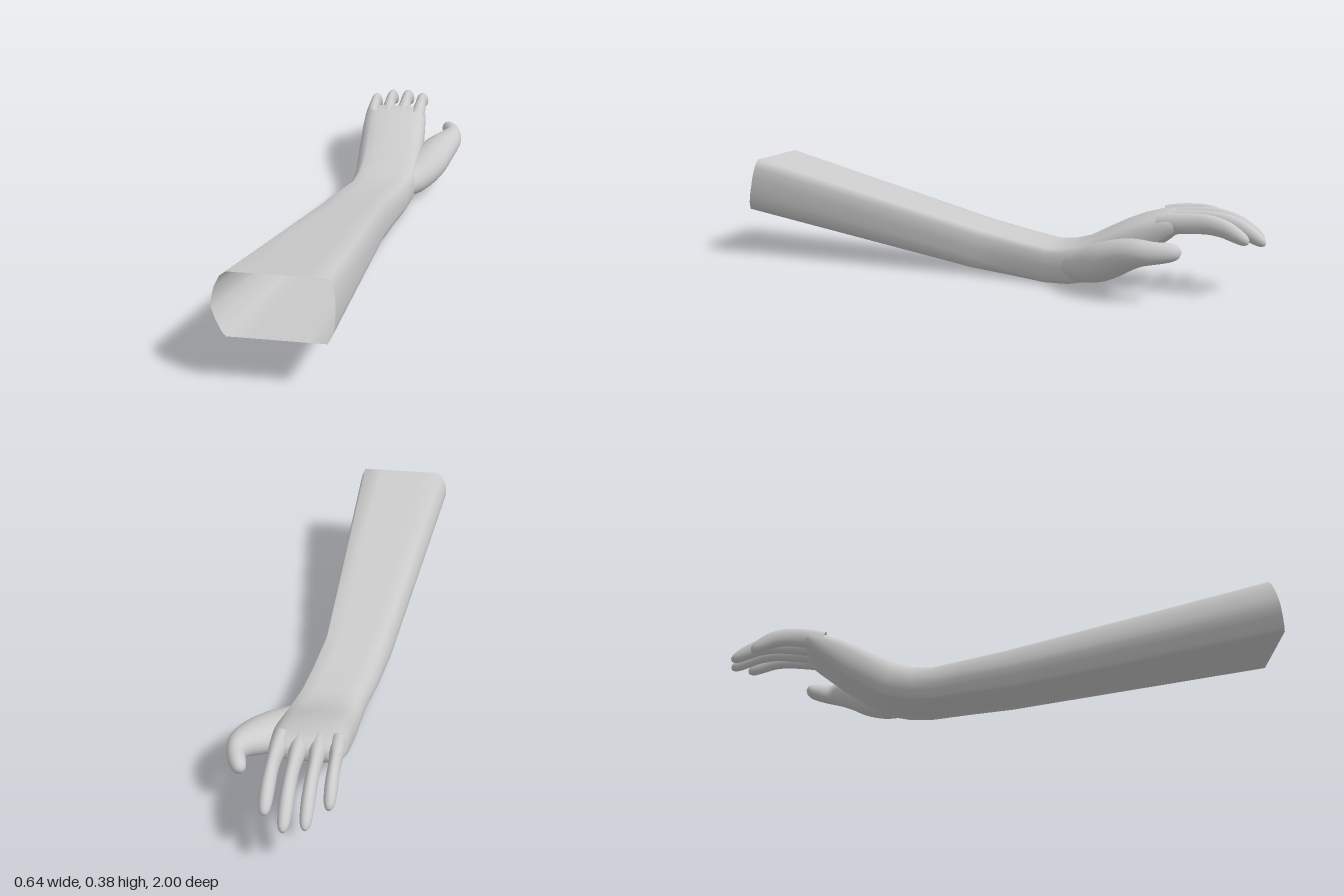
import * as THREE from 'three';

const material = new THREE.MeshStandardMaterial({ color: 0xcccccc, side: THREE.DoubleSide });

// Boxy forearm outline with a flat top and bottom and bevelled sides
const FOREARM = [
  [1, 0], [1, 0.35], [0.96, 0.7], [0.89, 1], [0.5, 1], [0, 1], [-0.4, 1], [-0.76, 1],
  [-0.87, 0.85], [-0.96, 0.5], [-1, 0.15], [-1, -0.15], [-0.93, -0.5], [-0.83, -0.85],
  [-0.76, -1], [-0.3, -1], [0.2, -1], [0.6, -1], [0.89, -1], [0.97, -0.7], [1, -0.4],
];

// Rounded outline point at an angle; a smaller power is squarer
function rounded(a, power) {
  const f = (c) => Math.sign(c) * Math.abs(c) ** power;
  return [f(Math.cos(a)), f(Math.sin(a))];
}

// Skin over rings [x, y, z, half width, half height, roundness], closed at the far end
function limb(name, rings, { steps = 1, power = 1, level = true } = {}) {
  const centres = new THREE.CatmullRomCurve3(rings.map((r) => new THREE.Vector3(r[0], r[1], r[2])), false, 'catmullrom');
  const sizes = new THREE.CatmullRomCurve3(rings.map((r) => new THREE.Vector3(r[3], r[4], r[5] ?? 1)), false, 'catmullrom');
  const n = (rings.length - 1) * steps;
  const c = [], s = [];
  for (let i = 0; i <= n; i++) {
    c.push(centres.getPoint(i / n));
    s.push(sizes.getPoint(i / n));
  }
  const m = FOREARM.length, pos = [], index = [];
  for (let i = 0; i <= n; i++) {
    const dir = c[Math.min(i + 1, n)].clone().sub(c[Math.max(i - 1, 0)]).normalize();
    const u = level ? new THREE.Vector3(1, 0, 0) : dir.clone().cross(new THREE.Vector3(0, 1, 0)).normalize();
    const v = u.clone().cross(dir).normalize();
    for (let j = 0; j < m; j++) {
      const [bu, bv] = FOREARM[j];
      const [ru, rv] = rounded(level && power < 1 ? Math.atan2(bv, bu) : (j / m) * Math.PI * 2, power);
      const p = c[i].clone()
        .addScaledVector(u, THREE.MathUtils.lerp(bu, ru, s[i].z) * s[i].x)
        .addScaledVector(v, THREE.MathUtils.lerp(bv, rv, s[i].z) * s[i].y);
      pos.push(p.x, p.y, p.z);
      if (i < n) {
        const k = (j + 1) % m, a = i * m + j, b = i * m + k;
        index.push(a, a + m, b, b, a + m, b + m);
      }
    }
  }
  pos.push(c[n].x, c[n].y, c[n].z);
  for (let j = 0; j < m; j++) index.push(n * m + j, (n + 1) * m, n * m + ((j + 1) % m));

  const geometry = new THREE.BufferGeometry();
  geometry.setAttribute('position', new THREE.Float32BufferAttribute(pos, 3));
  geometry.setIndex(index);
  geometry.computeVertexNormals();
  const mesh = new THREE.Mesh(geometry, material);
  mesh.name = name;
  return mesh;
}

// Finger that leaves the knuckles level and curls down to its tip
function finger(name, x, rootX, tipZ, tipY, width) {
  const root = -0.64, length = tipZ - root, top = 0.254;
  // fraction of length, fraction of drop, width and height factors
  const profile = [
    [0, 0.2, 1.25, 0.036], [0.2, 0.06, 1.2, 0.037], [0.38, 0, 1, 0.036], [0.55, 0, 0.97, 0.034],
    [0.72, 0.2, 1, 0.031], [0.86, 0.58, 0.95, 0.026], [0.95, 0.87, 0.75, 0.019], [0.99, 0.98, 0.4, 0.01], [1, 1, 0.1, 0.003],
  ];
  return limb(name, profile.map(([t, drop, w, h]) => [
    THREE.MathUtils.lerp(rootX, x, Math.min(1, t / 0.4)), top + (tipY - top) * drop, root + length * t, width * w, h,
  ]), { steps: 3 });
}

export function createModel() {
  const group = new THREE.Group();
  group.name = 'armAndHand';

  // Forearm, bent wrist and palm, open at the elbow
  group.add(limb('forearmAndPalm', [
    [-0.14, 0.284, 0.98, 0.185, 0.101, 0],
    [-0.05, 0.098, 0.04, 0.126, 0.073, 0],
    [-0.02, 0.08, -0.12, 0.124, 0.067, 0.1],
    [0.008, 0.068, -0.24, 0.121, 0.065, 0.2],
    [0.022, 0.073, -0.32, 0.126, 0.069, 0.4],
    [0.03, 0.092, -0.4, 0.13, 0.075, 0.6],
    [0.031, 0.13, -0.47, 0.131, 0.074, 0.8],
    [0.031, 0.169, -0.54, 0.131, 0.072, 1],
    [0.03, 0.203, -0.6, 0.13, 0.063, 1],
    [0.029, 0.232, -0.66, 0.127, 0.05, 1],
    [0.028, 0.246, -0.695, 0.124, 0.038, 1],
    [0.028, 0.25, -0.712, 0.115, 0.022, 1],
  ], { power: 0.7 }));

  // Four fingers: tip x, root x, tip z, tip y, half width
  group.add(
    finger('littleFinger', -0.07, -0.066, -0.905, 0.2, 0.021),
    finger('ringFinger', -0.008, -0.004, -0.988, 0.19, 0.022),
    finger('middleFinger', 0.058, 0.057, -1, 0.185, 0.023),
    finger('indexFinger', 0.124, 0.12, -0.95, 0.2, 0.023),
  );

  // Thumb with its broad fleshy base
  group.add(limb('thumb', [
    [0.07, 0.075, -0.3, 0.045, 0.045],
    [0.13, 0.085, -0.39, 0.07, 0.062],
    [0.18, 0.115, -0.47, 0.08, 0.068],
    [0.225, 0.15, -0.545, 0.07, 0.058],
    [0.262, 0.17, -0.605, 0.051, 0.047],
    [0.272, 0.175, -0.655, 0.033, 0.039],
    [0.256, 0.177, -0.705, 0.029, 0.033],
    [0.243, 0.178, -0.733, 0.02, 0.022],
    [0.239, 0.178, -0.743, 0.005, 0.006],
  ], { steps: 3, level: false }));

  return group;
}
